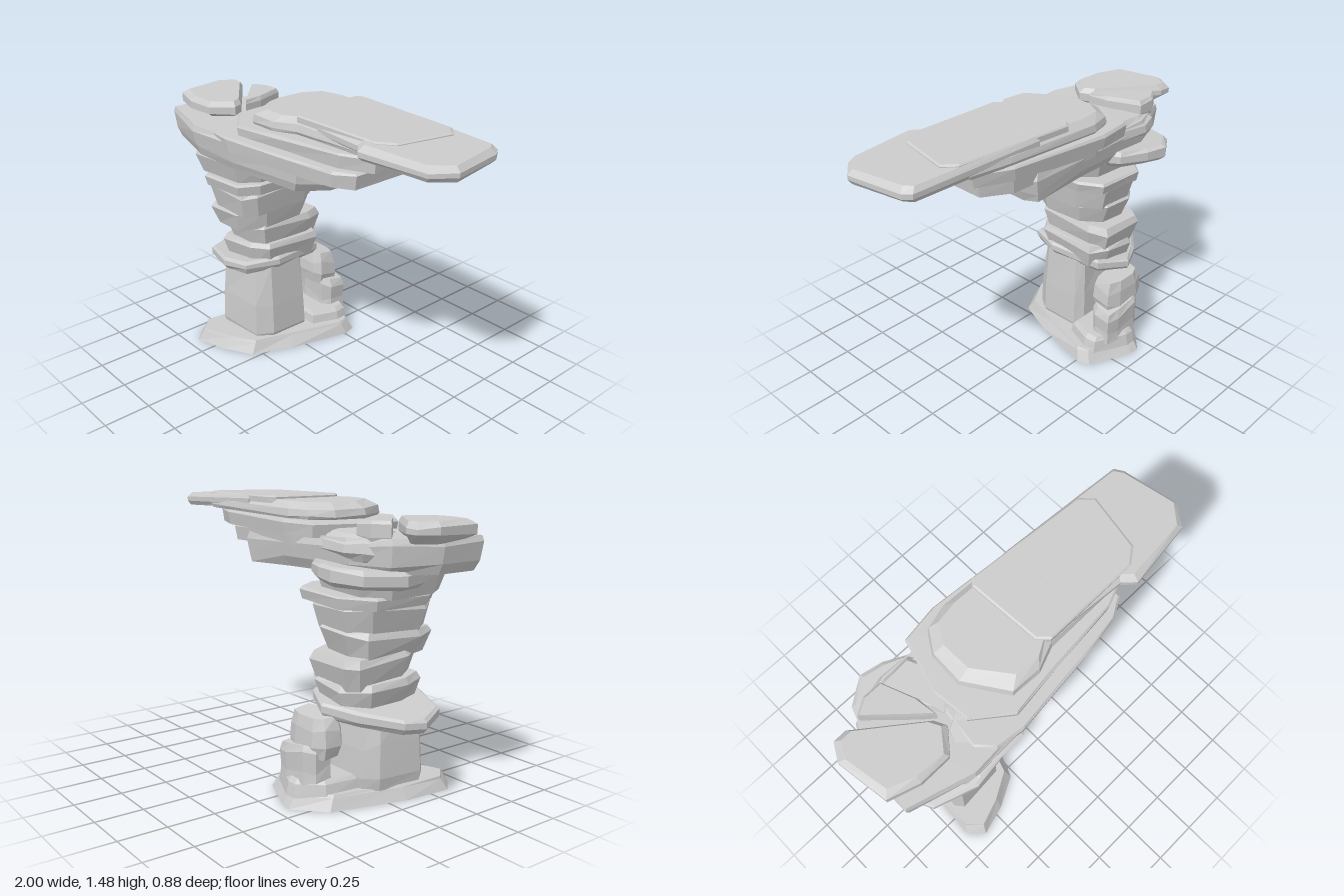
import * as THREE from 'three';

const rock = new THREE.MeshStandardMaterial({ color: 0xcccccc, flatShading: true });

// Small seeded generator for the irregular chiselled edges
let seed = 7;
const rnd = () => (seed = (seed * 16807) % 2147483647) / 2147483647;

// Chiselled slab: plan outline [x, z], height range, rows of [height fraction, inset], tilt [dy/dx, dy/dz]
function slab(name, outline, y0, y1, rows, tilt = [0, 0], chip = 0.3) {
  const pts = outline.map(([x, z]) => new THREE.Vector2(x, -z));
  if (THREE.ShapeUtils.isClockWise(pts)) pts.reverse();
  const c = new THREE.Box2().setFromPoints(pts).getCenter(new THREE.Vector2());
  const n = pts.length;
  const rings = rows.map(([t, inset], r) => pts.map((p) => {
    const vary = 1 + chip * (rnd() - 0.5) * 2;
    const q = p.clone().addScaledVector(c.clone().sub(p).normalize(), inset * vary);
    const inner = r > 0 && r < rows.length - 1;
    const h = inner ? t + (rnd() - 0.5) * chip * 0.5 : t;
    const y = y0 + (y1 - y0) * h + tilt[0] * (q.x - c.x) - tilt[1] * (q.y - c.y);
    return new THREE.Vector3(q.x, y, -q.y);
  }));
  const pos = [];
  const tri = (a, b, d) => pos.push(...a.toArray(), ...b.toArray(), ...d.toArray());
  for (let r = 0; r < rings.length - 1; r++) {
    for (let i = 0; i < n; i++) {
      const j = (i + 1) % n, lo = rings[r], hi = rings[r + 1];
      tri(lo[i], lo[j], hi[j]);
      tri(lo[i], hi[j], hi[i]);
    }
  }
  const cap = (ring, up) => {
    const flat = ring.map((v) => new THREE.Vector2(v.x, -v.z));
    for (const [a, b, d] of THREE.ShapeUtils.triangulateShape(flat, [])) {
      if (up) tri(ring[a], ring[b], ring[d]);
      else tri(ring[a], ring[d], ring[b]);
    }
  };
  cap(rings[0], false);
  cap(rings[rings.length - 1], true);
  const geo = new THREE.BufferGeometry();
  geo.setAttribute('position', new THREE.Float32BufferAttribute(pos, 3));
  geo.computeVertexNormals();
  const mesh = new THREE.Mesh(geo, rock);
  mesh.name = name;
  return mesh;
}

// Rectangle plan with unevenly cut corners
function block(x0, x1, z0, z1) {
  const w = x1 - x0, d = z1 - z0;
  const k = () => 0.1 + 0.18 * rnd();
  return [
    [x0 + w * k(), z0], [x1 - w * k(), z0], [x1, z0 + d * k()], [x1, z1 - d * k()],
    [x1 - w * k(), z1], [x0 + w * k(), z1], [x0, z1 - d * k()], [x0, z0 + d * k()],
  ];
}

// Edge profiles, bottom to top
const BEVEL = [[0, 0.04], [0.3, 0], [0.8, 0], [1, 0.02]];
const UNDERCUT = [[0, 0.035], [0.8, 0], [1, 0.02]];
const SHEER = [[0, 0.012], [0.85, 0], [1, 0.012]];

export function createModel() {
  seed = 7;
  const g = new THREE.Group();
  g.name = 'rockArch';

  // Footing with a raised step at the back
  g.add(slab('base', [
    [-0.62, 0.44], [-0.7, 0.36], [-0.68, 0.1], [-0.57, -0.3], [-0.42, -0.44], [-0.36, -0.43],
    [-0.12, -0.33], [-0.1, -0.26], [-0.19, 0.08], [-0.28, 0.3], [-0.45, 0.39],
  ], 0, 0.072, [[0, 0], [0.8, 0.035], [1, 0.045]], [0, 0], 0.1));
  g.add(slab('baseStep', [
    [-0.55, -0.1], [-0.53, -0.29], [-0.42, -0.41], [-0.36, -0.41], [-0.17, -0.32], [-0.16, -0.25], [-0.22, -0.1],
  ], 0.05, 0.14, [[0, 0], [0.75, 0.015], [1, 0.035]], [0, 0], 0.1));

  // Two legs with a gap between them
  g.add(slab('mainLeg', [
    [-0.57, -0.11], [-0.32, -0.115], [-0.27, -0.08], [-0.27, 0.15], [-0.33, 0.23], [-0.61, 0.255], [-0.65, 0.21], [-0.63, -0.04],
  ], 0.06, 0.5, [[0, 0.01], [0.1, 0], [0.5, 0.008], [1, 0.03]], [0, 0], 0.25));
  g.add(slab('rearLegFoot', block(-0.51, -0.235, -0.375, -0.22), 0.12, 0.31,
    [[0, 0], [0.3, 0.005], [0.8, 0], [1, 0.02]], [-0.15, 0.15]));
  g.add(slab('rearLegTop', block(-0.56, -0.27, -0.35, -0.195), 0.26, 0.46,
    [[0, 0.02], [0.3, 0], [0.7, 0.008], [1, 0.03]], [0, 0.15]));

  // Tilted ledge jutting out to one side
  g.add(slab('ledge', [
    [-0.85, 0.05], [-0.82, -0.06], [-0.65, -0.2], [-0.48, -0.29], [-0.31, -0.21], [-0.265, 0.1],
    [-0.34, 0.28], [-0.52, 0.3], [-0.77, 0.21],
  ], 0.44, 0.515, [[0, 0.025], [0.4, 0], [0.8, 0], [1, 0.015]], [0.16, 0.02]));

  // Stacked pillar courses: x0, x1, z0, z1, y0, y1, tilt x, tilt z
  [
    [-0.66, -0.27, -0.24, 0.23, 0.49, 0.63, 0.07, 0.04],
    [-0.645, -0.29, -0.25, 0.23, 0.6, 0.755, 0.04, 0.05],
    [-0.65, -0.275, -0.212, 0.31, 0.74, 0.87, 0.08, -0.04],
    [-0.66, -0.24, -0.225, 0.33, 0.85, 1.0, 0.03, -0.03],
    [-0.68, -0.19, -0.26, 0.37, 0.985, 1.045, 0.06, 0],
    [-0.72, -0.19, -0.19, 0.36, 1.03, 1.16, 0.03, 0.03],
  ].forEach(([x0, x1, z0, z1, y0, y1, tx, tz], i) => {
    g.add(slab(`pillarCourse${i + 1}`, block(x0, x1, z0, z1), y0, y1, y1 - y0 < 0.08 ? SHEER : UNDERCUT, [tx, tz]));
  });

  // Shelf poking out at the back, under the cap
  g.add(slab('rearShelf', [
    [-0.84, -0.08], [-0.77, -0.28], [-0.64, -0.365], [-0.52, -0.34], [-0.38, -0.27], [-0.3, -0.1], [-0.45, 0.08], [-0.78, 0.08],
  ], 1.095, 1.185, BEVEL, [0.05, -0.05]));

  // Cap and the slabs stepping out into the overhang
  g.add(slab('capSlab', [
    [-0.93, 0.3], [-0.93, 0.05], [-0.82, -0.16], [-0.6, -0.25], [-0.1, -0.25], [0.22, -0.245], [0.265, -0.18],
    [0.265, 0.17], [0.16, 0.32], [-0.3, 0.39], [-0.6, 0.4],
  ], 1.14, 1.305, [[0, 0.04], [0.3, 0.015], [0.8, 0], [1, 0.015]], [-0.025, 0]));
  g.add(slab('overhangLower', [
    [-0.52, 0.3], [-0.46, -0.2], [-0.2, -0.26], [0.36, -0.23], [0.5, -0.14], [0.5, 0.25], [0.4, 0.31], [0.16, 0.35], [-0.3, 0.4], [-0.45, 0.38],
  ], 1.235, 1.315, SHEER, [-0.015, 0], 0.2));
  g.add(slab('overhangMiddle', [
    [-0.46, 0.2], [-0.48, 0], [-0.4, -0.28], [-0.2, -0.31], [0.38, -0.26], [0.57, -0.18], [0.57, 0.2], [0.4, 0.27], [0, 0.31], [-0.28, 0.34],
  ], 1.305, 1.38, SHEER, [0.02, 0], 0.2));
  g.add(slab('overhangUpper', [
    [-0.38, 0.06], [-0.37, -0.12], [-0.3, -0.23], [-0.18, -0.265], [0.38, -0.245], [0.62, -0.22], [0.66, 0.2],
    [0.5, 0.23], [0.05, 0.23], [-0.08, 0.28], [-0.24, 0.27],
  ], 1.38, 1.462, [[0, 0.01], [0.2, 0], [0.6, 0.01], [1, 0.07]], [0.02, 0], 0.2));
  g.add(slab('overhangTip', [
    [0.2, -0.245], [0.92, -0.205], [0.95, -0.16], [1, 0.14], [0.92, 0.245], [0.55, 0.295], [0.49, 0.24], [0.2, 0.22],
  ], 1.395, 1.466, [[0, 0.02], [0.3, 0], [0.65, 0], [1, 0.03]], [-0.025, 0], 0.2));
  g.add(slab('topPlate', [
    [-0.02, -0.22], [0.01, -0.25], [0.66, -0.2], [0.72, -0.14], [0.66, 0.16], [0.58, 0.22], [0.05, 0.22], [0, 0.17],
  ], 1.44, 1.475, [[0, 0], [0.8, 0], [1, 0.012]], [0, 0], 0));

  // Split boulders resting on the short side of the cap
  g.add(slab('sideBoulder', [
    [-1, -0.05], [-0.95, -0.14], [-0.88, -0.14], [-0.57, 0.1], [-0.54, 0.16], [-0.63, 0.27], [-0.8, 0.27], [-0.96, 0.22],
  ], 1.295, 1.398, [[0, 0.07], [0.4, 0], [0.75, 0], [1, 0.035]], [-0.01, 0]));
  g.add(slab('middleBoulder', [
    [-0.8, -0.15], [-0.72, -0.2], [-0.62, -0.2], [-0.55, -0.02], [-0.54, 0.09], [-0.6, 0.04],
  ], 1.28, 1.395, [[0, 0.01], [0.4, 0], [0.8, 0], [1, 0.015]]));
  g.add(slab('rearBoulder', [
    [-0.76, -0.16], [-0.7, -0.23], [-0.6, -0.26], [-0.42, -0.25], [-0.36, -0.1], [-0.42, 0.1], [-0.5, 0.1], [-0.62, -0.12],
  ], 1.22, 1.335, [[0, 0.03], [0.35, 0], [0.7, 0.01], [1, 0.05]], [0.06, 0.05]));
  g.add(slab('frontWedge', [
    [-0.62, 0.3], [-0.56, 0.14], [-0.42, 0.08], [-0.36, 0.2], [-0.42, 0.36], [-0.56, 0.38],
  ], 1.2, 1.315, [[0, 0], [0.7, 0.02], [1, 0.05]], [0.06, -0.1]));

  return g;
}
